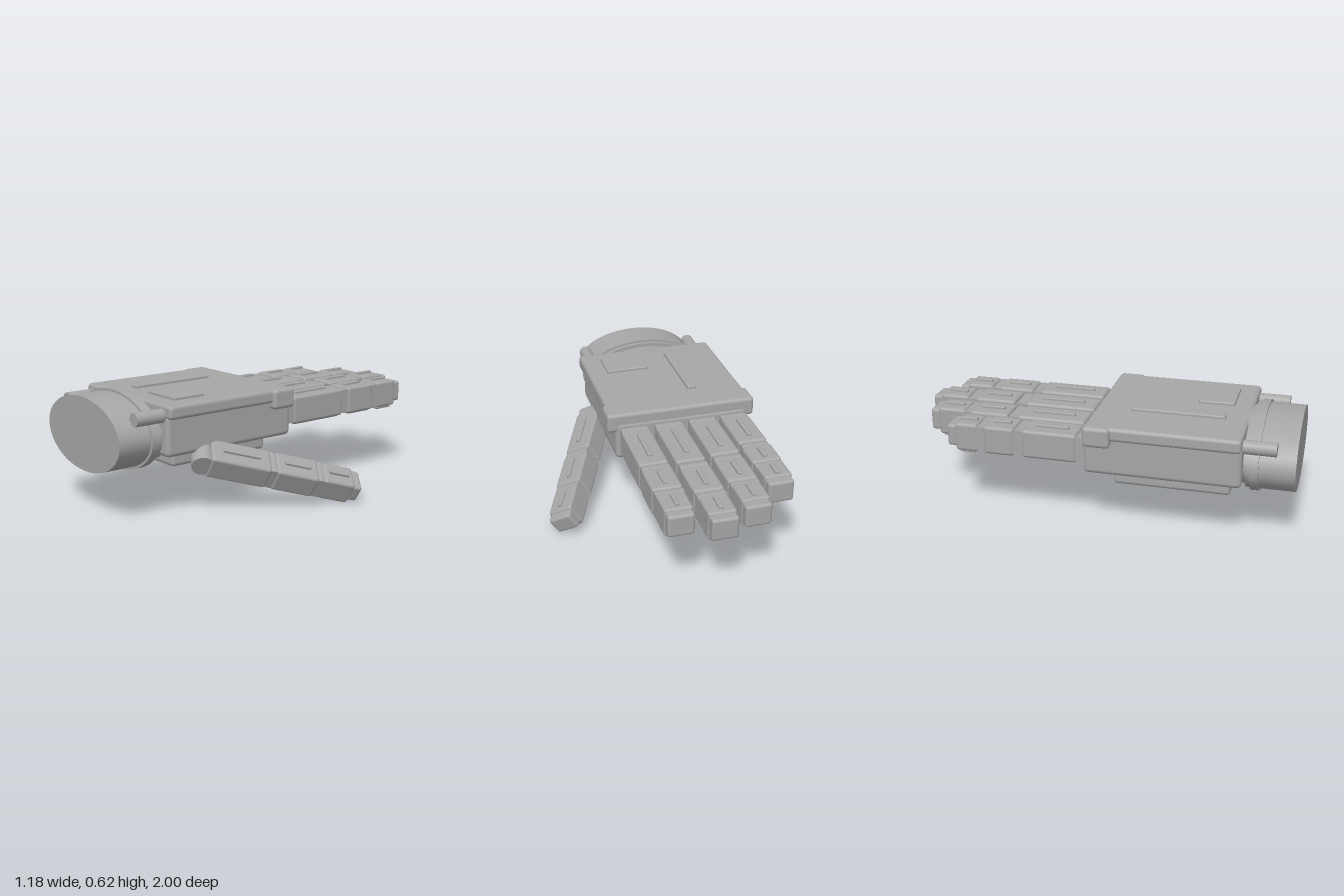
import * as THREE from 'three';
import { RoundedBoxGeometry } from 'three/addons/geometries/RoundedBoxGeometry.js';

const grey = new THREE.MeshStandardMaterial({ color: 0xa6a6a6 });
grey.name = 'machineGrey';

function add(parent, name, geometry, x = 0, y = 0, z = 0) {
  const mesh = new THREE.Mesh(geometry, grey);
  mesh.name = name;
  mesh.position.set(x, y, z);
  parent.add(mesh);
  return mesh;
}

// Rounded box given by its min and max on each axis
function block(parent, name, [x0, x1], [y0, y1], [z0, z1], r = 0.015) {
  const size = [x1 - x0, y1 - y0, z1 - z0];
  const radius = Math.min(r, Math.min(...size) * 0.45);
  return add(parent, name, new RoundedBoxGeometry(...size, 2, radius),
    (x0 + x1) / 2, (y0 + y1) / 2, (z0 + z1) / 2);
}

// Elliptical disc or tube along z
function oval(parent, name, rx, ry, z0, z1) {
  const g = new THREE.CylinderGeometry(1, 1, z1 - z0, 48);
  g.rotateX(Math.PI / 2);
  g.scale(rx, ry, 1);
  return add(parent, name, g, -0.197, 0.445, (z0 + z1) / 2);
}

// Digit running along -z; segments are [near, far] distances, joints sit between them
function digit(name, segments, width, height, base) {
  const group = new THREE.Group();
  group.name = name;
  const h = height / 2;
  segments.forEach(([near, far], i) => {
    const last = i === segments.length - 1;
    const w = (width - (last ? 0.012 : 0)) / 2;
    const length = far - near;
    const end = last ? far - 0.045 : far;
    block(group, 'segment', [-w, w], [-h, h], [-end, -near]);
    if (last) block(group, 'fingertip', [-w + 0.005, w - 0.005], [-h + 0.02, h - 0.012], [-far, -near - 0.03]);

    // Raised bar on the back and grip pad underneath
    const mid = (near + end) / 2;
    const bar = length * (last ? 0.26 : 0.31);
    block(group, 'backBar', [-0.012, 0.012], [h - 0.01, h + 0.013], [-mid - bar, -mid + bar], 0.005);
    block(group, 'gripPad', [-w + 0.018, w - 0.018], [-h - (last ? 0.014 : 0.007), -h + 0.02],
      [-end + 0.015, -near - 0.02], 0.008);

    // Hinge in front of the segment
    const hinge = i ? (near + segments[i - 1][1]) / 2 : base;
    const g = new THREE.CylinderGeometry(h * 0.9, h * 0.9, width - 0.012, 24);
    g.rotateZ(Math.PI / 2);
    add(group, 'hinge', g, 0, 0, -hinge);
    block(group, 'hingeLink', [-w + 0.015, w - 0.015], [-h * 0.75, h * 0.75], [-near - 0.02, -hinge + 0.02], 0.01);
  });
  return group;
}

export function createModel() {
  const hand = new THREE.Group();
  hand.name = 'mechanicalHand';

  // Wrist
  oval(hand, 'wrist', 0.343, 0.19, 0.757, 1);
  oval(hand, 'wristRing', 0.358, 0.202, 0.78, 0.822);
  oval(hand, 'wristNeck', 0.32, 0.17, 0.7, 0.77);
  for (const x of [-0.515, 0.125]) {
    const g = new THREE.CylinderGeometry(0.035, 0.035, 0.2, 20);
    g.rotateX(Math.PI / 2);
    add(hand, 'wristPiston', g, x, 0.557, 0.805);
  }

  // Palm
  block(hand, 'palmBody', [-0.563, 0.172], [0.348, 0.56], [-0.045, 0.745], 0.025);
  block(hand, 'backPlate', [-0.587, 0.197], [0.54, 0.612], [-0.02, 0.742], 0.02);
  block(hand, 'knuckleBar', [-0.605, 0.215], [0.506, 0.612], [-0.04, 0.1], 0.02);
  block(hand, 'palmPad', [-0.52, 0.13], [0.286, 0.36], [0.1, 0.69], 0.02);
  block(hand, 'longBackStrip', [-0.335, -0.285], [0.6, 0.628], [0.15, 0.625], 0.007);
  block(hand, 'backPanel', [-0.147, 0.093], [0.6, 0.628], [0.46, 0.645], 0.007);

  // Fingers
  const fingers = [
    ['littleFinger', -0.478, [[0.083, 0.367], [0.41, 0.57], [0.605, 0.77]]],
    ['ringFinger', -0.3, [[0.087, 0.447], [0.5, 0.706], [0.74, 0.935]]],
    ['middleFinger', -0.112, [[0.087, 0.467], [0.527, 0.754], [0.797, 1]]],
    ['indexFinger', 0.076, [[0.087, 0.447], [0.49, 0.685], [0.727, 0.918]]],
  ];
  for (const [name, x, segments] of fingers) {
    const finger = digit(name, segments, 0.156, 0.148, 0.06);
    finger.position.set(x, 0.467, 0);
    hand.add(finger);
  }

  // Thumb, swung outward and down
  const thumb = digit('thumb', [[0.03, 0.35], [0.38, 0.61], [0.64, 0.855]], 0.155, 0.13, 0);
  const across = new THREE.Vector3(0.735, -0.478, 0.48).normalize();
  const up = new THREE.Vector3(0.545, 0.838, 0).normalize();
  const back = new THREE.Vector3().crossVectors(across, up);
  thumb.quaternion.setFromRotationMatrix(new THREE.Matrix4().makeBasis(across, up, back));
  thumb.position.set(0.16, 0.322, 0.53);
  hand.add(thumb);

  return hand;
}
